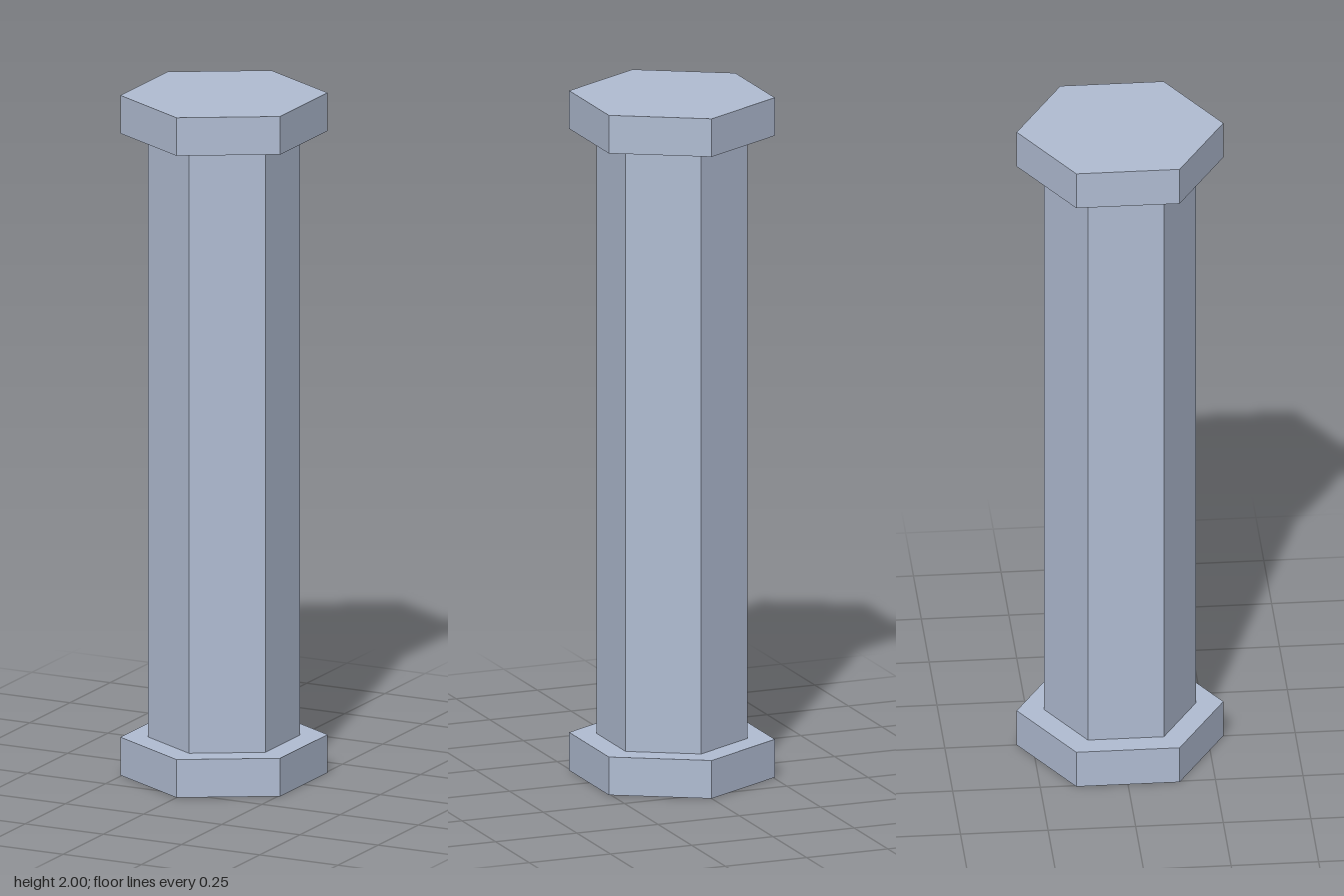
import * as THREE from 'three';

export function createModel() {
  const group = new THREE.Group();
  group.name = 'hexagonalColumn';

  const stone = new THREE.MeshStandardMaterial({ color: 0xb0bcd2, flatShading: true });
  stone.name = 'paleBlueStone';

  const height = 2;
  const slabHeight = 0.112;
  const slabRadius = 0.295;
  const shaftRadius = 0.217;

  // Six-sided prism with corners pointing to the front and back
  function addPrism(name, radius, bottom, top, open) {
    const geometry = new THREE.CylinderGeometry(radius, radius, top - bottom, 6, 1, open);
    const mesh = new THREE.Mesh(geometry, stone);
    mesh.name = name;
    mesh.position.y = (bottom + top) / 2;
    group.add(mesh);
  }

  addPrism('base', slabRadius, 0, slabHeight, false);
  addPrism('shaft', shaftRadius, slabHeight, height - slabHeight, true);
  addPrism('capital', slabRadius, height - slabHeight, height, false);

  return group;
}
